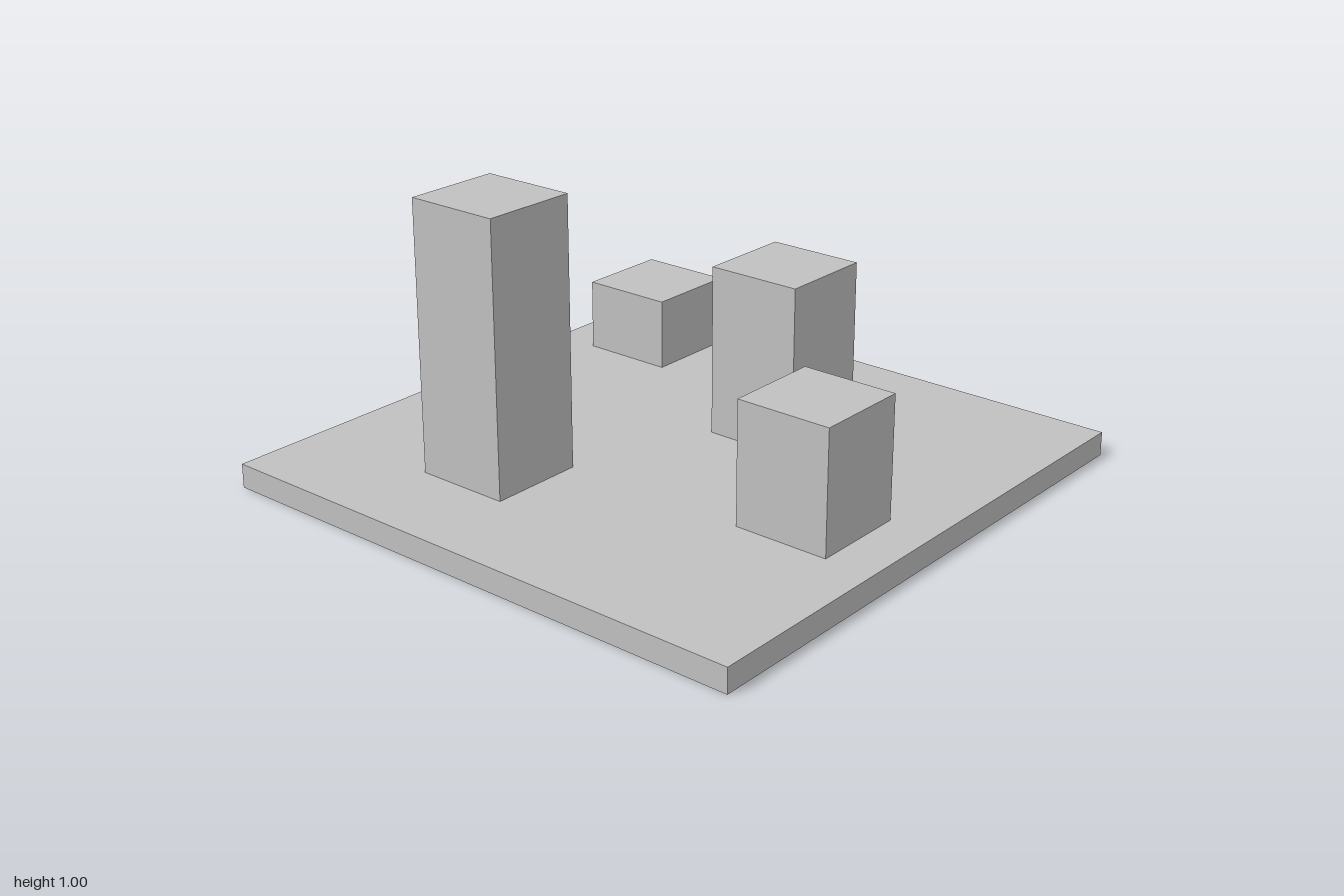
import * as THREE from 'three';

const U = 1 / 6; // layout module
const BASE_HEIGHT = 0.5;

export function createModel() {
  const model = new THREE.Group();
  model.name = 'blocksOnPlate';

  const grey = new THREE.MeshStandardMaterial({ color: 0xc0c0c0 });
  grey.name = 'light grey';

  // Box given by its centre, footprint and vertical extent, in modules
  const addBox = (name, x, z, size, bottom, top) => {
    const geometry = new THREE.BoxGeometry(size * U, (top - bottom) * U, size * U);
    const mesh = new THREE.Mesh(geometry, grey);
    mesh.name = name;
    mesh.position.set(x * U, ((bottom + top) / 2) * U, z * U);
    model.add(mesh);
  };

  // Square base plate
  addBox('basePlate', 0, 0, 12, 0, BASE_HEIGHT);

  // Square towers: name, x, z, top height
  const towers = [
    ['tallTower', -3, -2, 6],
    ['mediumTower', 2, 1, 4],
    ['shortTower', -1, 4, 3],
    ['lowBlock', 4, -4, 2],
  ];
  for (const [name, x, z, top] of towers) addBox(name, x, z, 2, BASE_HEIGHT, top);

  return model;
}
